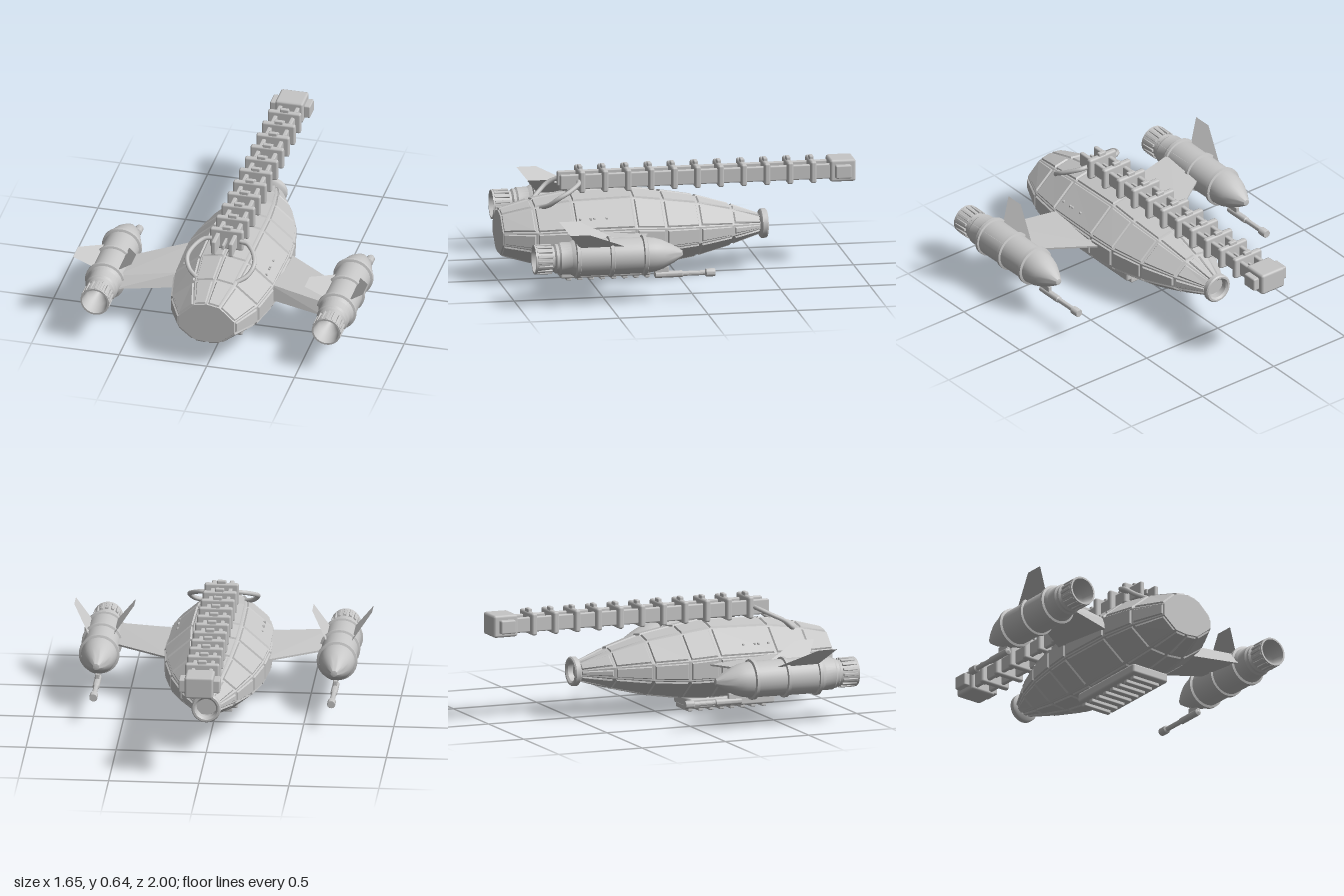
import * as THREE from 'three';
import { toCreasedNormals } from 'three/addons/utils/BufferGeometryUtils.js';
import { RoundedBoxGeometry } from 'three/addons/geometries/RoundedBoxGeometry.js';
import { ConvexGeometry } from 'three/addons/geometries/ConvexGeometry.js';

const V = (x, y, z) => new THREE.Vector3(x, y, z);

export function createModel() {
  const model = new THREE.Group();
  const metal = new THREE.MeshStandardMaterial({ color: 0xc6c6c6, side: THREE.DoubleSide });
  metal.name = 'pale grey metal';

  function add(name, geometry, parent = model, x = 0, y = 0, z = 0) {
    const mesh = new THREE.Mesh(geometry, metal);
    mesh.name = name;
    mesh.position.set(x, y, z);
    parent.add(mesh);
    return mesh;
  }
  const box = (name, w, h, d, x, y, z, parent = model, r = 0.008) =>
    add(name, new RoundedBoxGeometry(w, h, d, 1, r), parent, x, y, z);

  // Lathe about the z axis from [radius, z] pairs running back to front
  function turned(profile, sides = 32) {
    const g = new THREE.LatheGeometry(profile.map(([r, z]) => new THREE.Vector2(r, z)), sides);
    return toCreasedNormals(g.rotateX(Math.PI / 2), 0.6);
  }
  function facets(tris) {
    const g = new THREE.BufferGeometry().setFromPoints(tris);
    g.computeVertexNormals();
    return g;
  }
  const quad = (out, a, b, c, d) => out.push(a, b, c, a, c, d);

  // Hull sections: z, half width, bottom, top
  const sections = [
    [1, 0.165, 0.15, 0.405], [0.82, 0.25, 0.1, 0.455], [0.61, 0.288, 0.075, 0.49],
    [0.27, 0.295, 0.065, 0.5], [0.1, 0.277, 0.075, 0.475], [-0.1, 0.232, 0.105, 0.44],
    [-0.3, 0.155, 0.155, 0.38], [-0.47, 0.065, 0.205, 0.315],
  ];
  const outline = [[1, 0.32], [1, 0.61], [0.46, 0.94], [0, 1], [-0.46, 0.94],
    [-1, 0.61], [-1, 0.32], [-0.46, 0.03], [0, 0], [0.46, 0.03]];
  const rings = sections.map(([z, w, lo, hi]) =>
    outline.map(([u, v]) => V(u * (w - 0.008), lo + 0.008 + v * (hi - lo - 0.016), z)));
  const n = outline.length;

  // Raised armour panel with bevelled sides on one hull facet
  function panel(out, a, b, c, d) {
    const normal = b.clone().sub(a).add(c).sub(d).cross(d.clone().sub(a).add(c).sub(b)).normalize();
    const at = (u, v) => a.clone().lerp(b, u).lerp(d.clone().lerp(c, u), v);
    const wide = (a.distanceTo(b) + c.distanceTo(d)) / 2;
    const long = a.distanceTo(d);
    const inset = (m, lift) => {
      const u = Math.min(m / wide, 0.3), v = Math.min(m / long, 0.3);
      return [at(u, v), at(1 - u, v), at(1 - u, 1 - v), at(u, 1 - v)].map(p => p.addScaledVector(normal, lift));
    };
    const low = inset(0.008, 0), top = inset(0.013, 0.009);
    quad(out, ...top);
    for (let i = 0; i < 4; i++) {
      const k = (i + 1) % 4;
      quad(out, low[i], low[k], top[k], top[i]);
    }
  }
  const core = [], panels = [];
  for (let i = 0; i < rings.length - 1; i++) {
    for (let j = 0; j < n; j++) {
      const k = (j + 1) % n;
      const corners = [rings[i + 1][j], rings[i + 1][k], rings[i][k], rings[i][j]];
      quad(core, ...corners);
      panel(panels, ...corners);
    }
  }
  const front = rings[0], back = rings[rings.length - 1];
  for (let j = 1; j < n - 1; j++) {
    core.push(front[0], front[j], front[j + 1]);
    core.push(back[0], back[j + 1], back[j]);
  }
  add('hull', facets(core));
  add('hullPanels', facets(panels));

  // Tail ring with a hollow centre
  add('tailRing', turned([[0, -0.46], [0.055, -0.465], [0.055, -0.5], [0.065, -0.51],
    [0.076, -0.51], [0.082, -0.503], [0.082, -0.478], [0.074, -0.47], [0, -0.455]]), model, 0, 0.26, 0);

  // Belly tray with ribs underneath
  box('bellyTray', 0.24, 0.055, 0.51, 0, 0.047, 0.415, model, 0.012);
  box('bellyMount', 0.19, 0.05, 0.44, 0, 0.085, 0.415);
  for (let i = 0; i < 8; i++) box('bellyRib', 0.18, 0.03, 0.03, 0, 0.015, 0.175 + i * 0.063, model, 0.006);

  // Dorsal boom: rails, collars and end block
  const boom = new THREE.Group();
  boom.name = 'boom';
  model.add(boom);
  for (const s of [-1, 1]) {
    box('boomRail', 0.026, 0.085, 1.54, s * 0.049, 0.553, -0.11, boom);
    box('endBlockCheek', 0.04, 0.075, 0.09, s * 0.095, 0.557, -0.925, boom);
  }
  box('boomCore', 0.014, 0.03, 1.5, 0, 0.555, -0.11, boom, 0.004);
  for (let i = 0; i < 11; i++) {
    const z = 0.54 - i * 0.13;
    box('collar', 0.19, 0.125, 0.034, 0, 0.557, z, boom, 0.012);
    box('collarLug', 0.05, 0.03, 0.024, 0, 0.621, z, boom, 0.006);
  }
  box('endBlock', 0.16, 0.125, 0.145, 0, 0.557, -0.9275, boom, 0.014);

  for (const s of [-1, 1]) {
    // Hose from the hull up to the first collar
    const path = new THREE.CatmullRomCurve3([V(0.08, 0.56, 0.56), V(0.125, 0.555, 0.57), V(0.175, 0.525, 0.63),
      V(0.19, 0.495, 0.69), V(0.165, 0.455, 0.74), V(0.115, 0.43, 0.78)].map(p => p.multiply(V(s, 1, 1))));
    add('hose', new THREE.TubeGeometry(path, 24, 0.013, 8));

    // Small vents along the hull shoulder
    for (const z of [0.43, 0.5, 0.52, 0.58]) box('vent', 0.012, 0.012, 0.012, s * 0.235, 0.382, z, model, 0.002);

    // Wing with a blunt front edge tapering to the back
    add('wing', new ConvexGeometry([V(0.24, 0.33, 0.585), V(0.6, 0.315, 0.69), V(0.24, 0.25, 0.615),
      V(0.6, 0.25, 0.725), V(0.24, 0.3, 0.175), V(0.24, 0.29, 0.175), V(0.6, 0.29, 0.43),
      V(0.6, 0.28, 0.43)].map(p => p.multiply(V(s, 1, 1)))));

    // Engine pod, centred on its own axis
    const pod = new THREE.Group();
    pod.name = 'enginePod';
    pod.position.set(s * 0.66, 0.27, 0);
    model.add(pod);
    add('engineBody', turned([[0, 0.08], [0.018, 0.084], [0.05, 0.135], [0.08, 0.195], [0.094, 0.24],
      [0.1, 0.29], [0.103, 0.67], [0.1, 0.7], [0.09, 0.715], [0.09, 0.775], [0.082, 0.785], [0.082, 0.8],
      [0.072, 0.81], [0.082, 0.918], [0.072, 0.918], [0.06, 0.84], [0, 0.76]]), pod);
    for (const z of [0.3, 0.49, 0.68]) {
      add('engineBand', turned([[0.1, z - 0.014], [0.113, z - 0.009], [0.113, z + 0.009], [0.1, z + 0.014]]), pod);
    }
    for (let i = 0; i < 16; i++) {
      const a = i * Math.PI / 8;
      const petal = box('nozzlePetal', 0.014, 0.016, 0.085, Math.cos(a) * 0.077, Math.sin(a) * 0.077, 0.865, pod, 0.003);
      petal.rotation.z = a;
    }

    // Two thin swept fins in a V
    for (const t of [-1, 1]) {
      const at = (r, z) => V(t * r * Math.SQRT1_2, r * Math.SQRT1_2, z);
      const fin = [];
      quad(fin, at(0.1, 0.42), at(0.235, 0.635), at(0.235, 0.745), at(0.1, 0.67));
      add('fin', facets(fin), pod);
    }

    // Gun slung under the pod, pointing backward
    add('gun', turned([[0, -0.1], [0.021, -0.1], [0.023, -0.095], [0.023, -0.05], [0.014, -0.043],
      [0.014, 0.08], [0.019, 0.085], [0.019, 0.235], [0, 0.245]], 14), pod, 0, -0.115, 0);
    box('gunMount', 0.022, 0.05, 0.08, 0, -0.095, 0.2, pod, 0.004);
  }
  return model;
}
